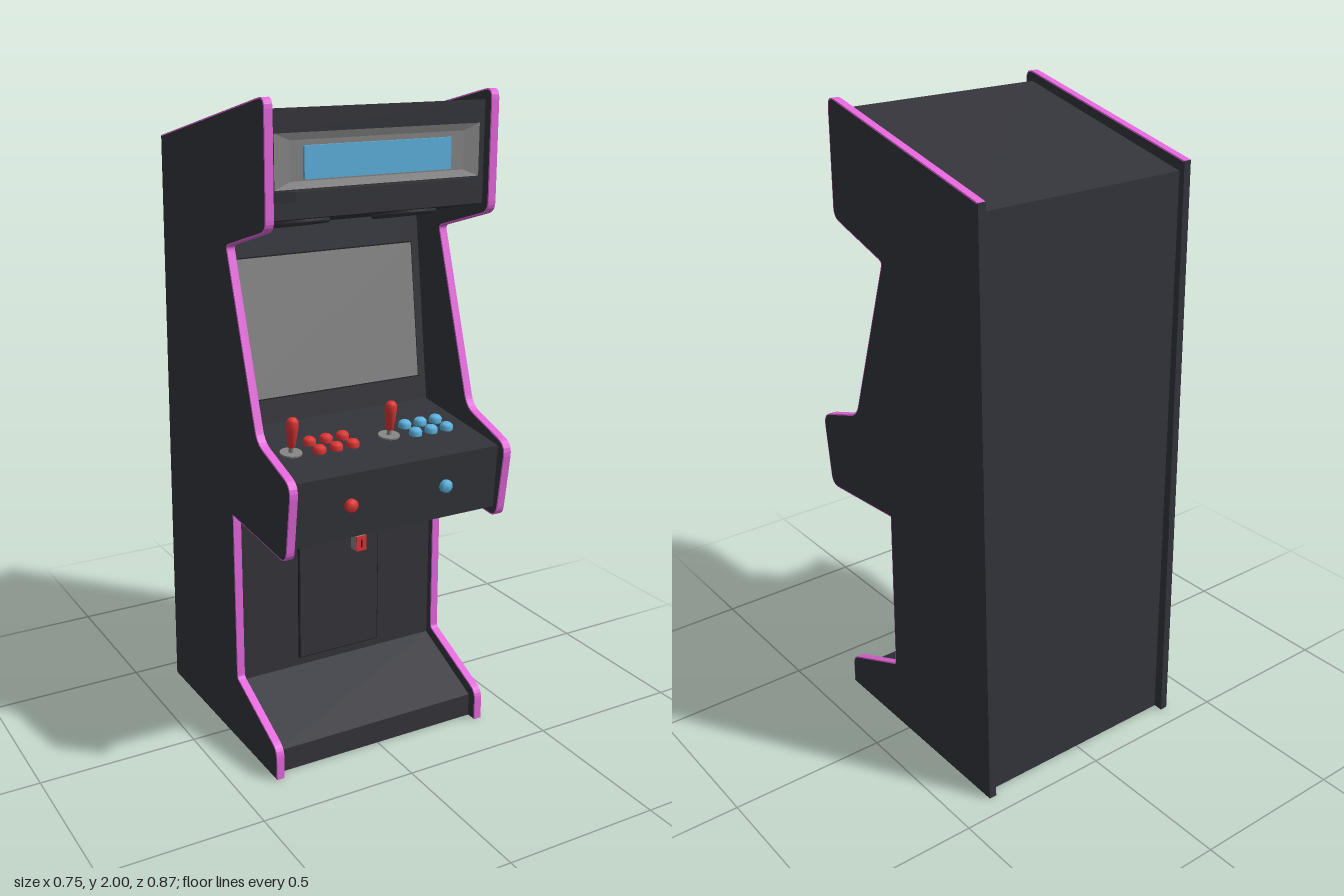
import * as THREE from 'three';

const material = (name, color, side = THREE.FrontSide) => {
  const m = new THREE.MeshStandardMaterial({ color, side });
  m.name = name;
  return m;
};

export function createModel() {
  const dark = material('charcoal', 0x33343a, THREE.DoubleSide);
  const black = material('black', 0x1b1b1f);
  const pink = material('magenta trim', 0xe466dc);
  const gray = material('gray glass', 0x848484, THREE.DoubleSide);
  const red = material('red', 0xdc3434);
  const blue = material('blue', 0x5cb2de);

  const cabinet = new THREE.Group();
  cabinet.name = 'arcadeCabinet';

  const add = (name, geometry, mat, x = 0, y = 0, z = 0, parent = cabinet) => {
    const mesh = new THREE.Mesh(geometry, mat);
    mesh.name = name;
    mesh.position.set(x, y, z);
    parent.add(mesh);
    return mesh;
  };
  const box = (w, h, d) => new THREE.BoxGeometry(w, h, d);
  const disc = (r, h, rTop = r) => new THREE.CylinderGeometry(rTop, r, h, 24);
  const lathe = (profile) => new THREE.LatheGeometry(profile.map(([r, y]) => new THREE.Vector2(r, y)), 20);
  const tiltedGroup = (name, y, z, angle) => {
    const g = new THREE.Group();
    g.name = name;
    g.position.set(0, y, z);
    g.rotation.x = angle;
    cabinet.add(g);
    return g;
  };

  // Flat quads, each given as four corner points
  const quads = (list) => {
    const positions = list.flatMap(([a, b, c, d]) => [a, b, c, a, c, d].flat());
    const g = new THREE.BufferGeometry();
    g.setAttribute('position', new THREE.Float32BufferAttribute(positions, 3));
    g.computeVertexNormals();
    return g;
  };

  // Side panels: [z, y, corner radius], trim on all edges but bottom and back
  const outline = [
    [-0.435, 0, 0], [0.334, 0, 0], [0.334, 0.1, 0.03], [0.068, 0.217, 0.01],
    [0.064, 0.76, 0], [0.407, 0.733, 0.035], [0.44, 0.975, 0.04], [0.237, 1.042, 0.035],
    [0.06, 1.577, 0.015], [0.311, 1.652, 0.03], [0.311, 2.007, 0.035], [-0.395, 1.846, 0],
  ];
  const points = outline.flatMap(([z, y, r], i) => {
    const p = new THREE.Vector2(z, y);
    if (!r) return [p];
    const toward = (j) => new THREE.Vector2(outline[j][0], outline[j][1]).sub(p).setLength(r).add(p);
    return new THREE.QuadraticBezierCurve(toward(i - 1), p, toward(i + 1)).getPoints(5);
  });
  const panel = new THREE.ExtrudeGeometry(new THREE.Shape(points), {
    depth: 0.0245, bevelThickness: 0.001, bevelSize: 0.004, bevelOffset: -0.004, bevelSegments: 1,
  });
  // Walls run bottom first, then the trimmed edges, then the back
  const [caps, walls] = panel.groups;
  const perEdge = walls.count / points.length;
  const trimEnd = walls.start + walls.count - perEdge;
  panel.clearGroups();
  panel.addGroup(caps.start, caps.count, 0);
  panel.addGroup(walls.start, perEdge, 0);
  panel.addGroup(walls.start + perEdge, walls.count - 2 * perEdge, 1);
  panel.addGroup(trimEnd, perEdge, 0);
  panel.rotateY(-Math.PI / 2);
  add('leftSidePanel', panel, [dark, pink], 0.3725);
  add('rightSidePanel', panel, [dark, pink], -0.348);

  // Hollow body between the sides, open underneath: [z, y] strips
  const W = 0.348;
  const strip = (profile) => quads(profile.slice(1).map(([z1, y1], i) => {
    const [z0, y0] = profile[i];
    return [[-W, y0, z0], [W, y0, z0], [W, y1, z1], [-W, y1, z1]];
  }));
  add('lowerFront', strip([[0.3, 0], [0.3, 0.075], [0.042, 0.19], [0.042, 0.765], [0.39, 0.765]]), dark);
  add('controlPanel', strip([[0.39, 0.765], [0.404, 0.965], [0.01, 1.01]]), dark);
  add('screenBezel', strip([[0.01, 1.01], [-0.07, 1.6]]), dark);
  add('speakerPanel', strip([[-0.07, 1.6], [0.28, 1.675]]), dark);
  add('topAndBack', strip([[0.28, 1.97], [-0.378, 1.815], [-0.405, 0]]), dark);

  // Marquee: front with an opening, sloped surround, pane and blue sign
  const rect = (x, y0, y1, z) => [[-x, y0, z], [x, y0, z], [x, y1, z], [-x, y1, z]];
  const toVectors = (r) => r.map(([x, y]) => new THREE.Vector2(x, y));
  const opening = rect(0.33, 1.755, 1.905, 0.28);
  const pane = rect(0.28, 1.775, 1.885, 0.274);
  const face = new THREE.Shape(toVectors(rect(W, 1.675, 1.97, 0)));
  face.holes.push(new THREE.Path(toVectors(opening)));
  add('marqueeFront', new THREE.ShapeGeometry(face), dark, 0, 0, 0.28);
  add('marqueeSurround', quads(opening.map((p, i) => {
    const j = (i + 1) % 4;
    return [p, opening[j], pane[j], pane[i]];
  })), gray);
  add('marqueePane', quads([pane]), gray);
  add('marqueeSign', box(0.472, 0.09, 0.009), blue, -0.004, 1.825, 0.279);

  // Thin tapered lip below the marquee
  const lip = new THREE.Shape(toVectors([[-W, 0], [W, 0], [0.275, 0.02], [-0.275, 0.02]]));
  const lipGeometry = new THREE.ExtrudeGeometry(lip, { depth: 0.03, bevelEnabled: false });
  lipGeometry.rotateX(Math.PI / 2);
  add('marqueeLip', lipGeometry, dark, 0, 1.752, 0.28);

  // Monitor
  const monitor = tiltedGroup('monitor', 1.3, -0.0293, -Math.atan2(0.08, 0.59));
  add('screenBorder', box(0.64, 0.432, 0.006), black, 0, 0, 0, monitor);
  add('screen', box(0.632, 0.424, 0.008), gray, 0, 0, 0.002, monitor);

  // Speakers under the marquee
  const speakers = tiltedGroup('speakers', 1.64, 0.117, -Math.atan2(0.075, 0.35));
  for (const x of [-0.18, 0.18]) {
    add('speakerGrille', disc(0.092, 0.008), dark, x, 0, 0, speakers);
    const rim = add('speakerRim', new THREE.TorusGeometry(0.09, 0.008, 8, 32), dark, x, -0.004, 0, speakers);
    rim.rotation.x = Math.PI / 2;
  }

  // Joysticks and button rows on the deck
  const deck = tiltedGroup('deckControls', 0.986, 0.22, Math.atan2(0.045, 0.394));
  const players = [
    { stickX: -0.257, buttonX: -0.175, color: red },
    { stickX: 0.076, buttonX: 0.157, color: blue },
  ];
  const handle = lathe([[0, 0.022], [0.012, 0.022], [0.018, 0.08], [0.018, 0.102], [0.011, 0.111], [0, 0.113]]);
  const button = lathe([[0.02, 0], [0.02, 0.013], [0.014, 0.02], [0, 0.022]]);
  for (const { stickX, buttonX, color } of players) {
    add('joystickBase', disc(0.033, 0.006), gray, stickX, 0.002, 0, deck);
    add('joystickShaft', disc(0.007, 0.03), gray, stickX, 0.015, 0, deck);
    add('joystickHandle', handle, red, stickX, 0, 0, deck);
    for (let i = 0; i < 6; i++) {
      add('playButton', button, color, buttonX + (i % 3) * 0.056, 0, i < 3 ? -0.04 : 0.022, deck);
    }
  }

  // Start buttons on the front of the control panel
  for (const [x, color] of [[-0.16, red], [0.163, blue]]) {
    const start = add('startButton', button, color, x, 0.868, 0.396);
    start.rotation.x = Math.PI / 2 - 0.07;
  }

  // Coin door
  add('doorGap', box(0.292, 0.546, 0.008), black, 0.002, 0.49, 0.0435);
  add('coinDoor', box(0.284, 0.538, 0.01), dark, 0.002, 0.49, 0.0455);
  add('coinBox', box(0.036, 0.05, 0.033), gray, 0.063, 0.588, 0.066);
  add('coinPlate', box(0.036, 0.05, 0.004), red, 0.063, 0.588, 0.084);
  add('coinSlot', box(0.006, 0.026, 0.002), black, 0.063, 0.588, 0.0865);

  return cabinet;
}
